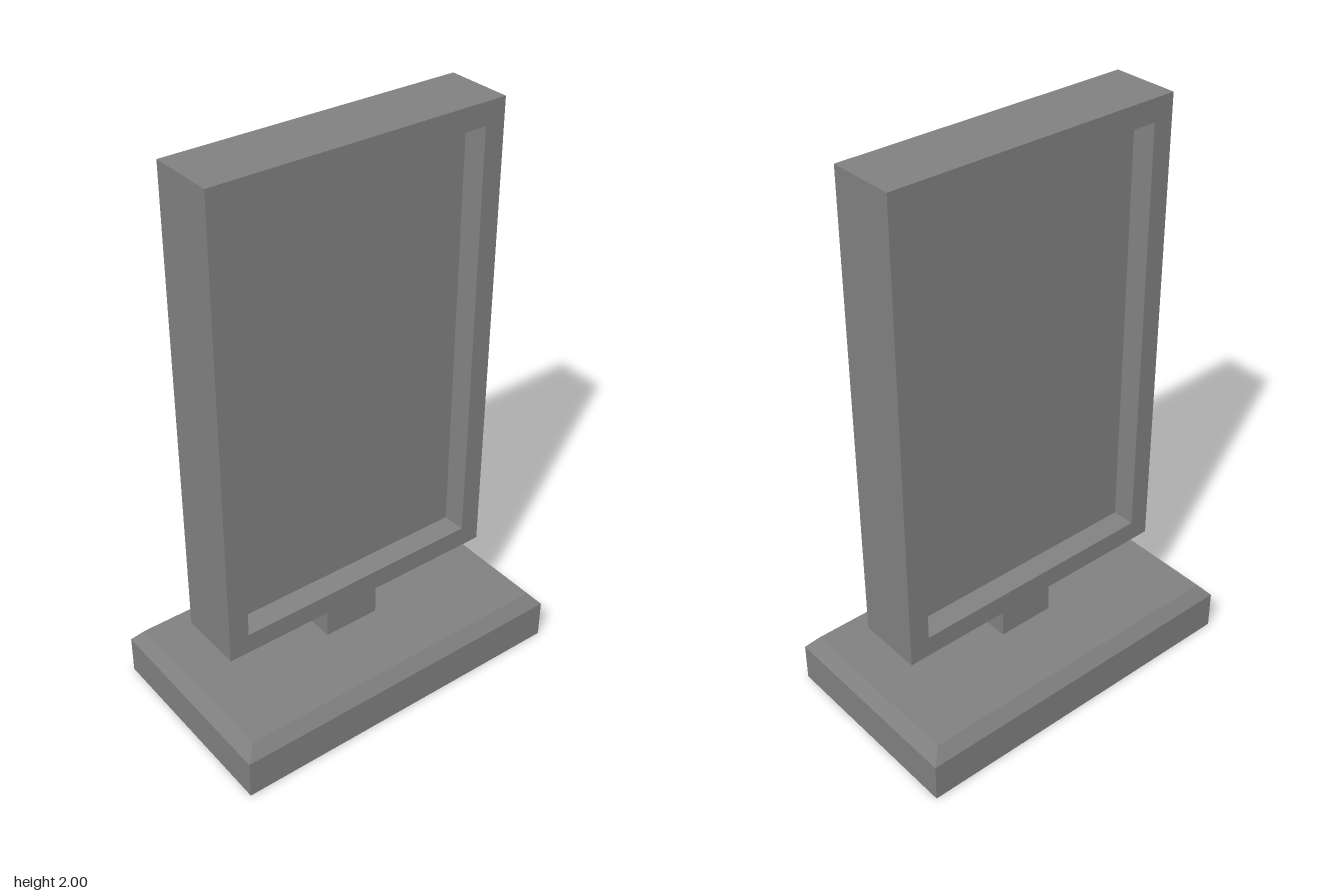
import * as THREE from 'three';

// Skin through rectangles [halfWidth, yMin, yMax, z], with flat faces and optional end caps.
function loft(rings, capped) {
  const pos = [];
  const loops = rings.map(([w, y0, y1, z]) => [[-w, y0, z], [w, y0, z], [w, y1, z], [-w, y1, z]]);
  const quad = (a, b, c, d) => pos.push(...a, ...b, ...c, ...a, ...c, ...d);
  for (let k = 0; k < loops.length - 1; k++) {
    const a = loops[k], b = loops[k + 1];
    for (let i = 0; i < 4; i++) {
      const j = (i + 1) % 4;
      quad(a[i], a[j], b[j], b[i]);
    }
  }
  if (capped) {
    const [p, q, r, s] = loops[0];
    quad(p, s, r, q);
    quad(...loops[loops.length - 1]);
  }
  const geometry = new THREE.BufferGeometry();
  geometry.setAttribute('position', new THREE.Float32BufferAttribute(pos, 3));
  geometry.computeVertexNormals();
  return geometry;
}

export function createModel() {
  const model = new THREE.Group();
  model.name = 'standingSign';
  const grey = new THREE.MeshStandardMaterial({ color: 0x808080 });
  grey.name = 'grey';

  const add = (name, geometry) => {
    const mesh = new THREE.Mesh(geometry, grey);
    mesh.name = name;
    model.add(mesh);
    return mesh;
  };

  // Base slab with a bevelled top edge, lofted upward
  const base = loft([
    [0.632, -0.364, 0.364, 0],
    [0.632, -0.364, 0.364, 0.14],
    [0.593, -0.328, 0.328, 0.185],
  ], true);
  base.rotateX(-Math.PI / 2);
  add('base', base);

  // Short post between base and frame
  add('post', new THREE.BoxGeometry(0.21, 0.17, 0.144)).position.y = 0.26;

  // Frame with a sloped recess on both faces
  const half = 0.118, floor = 0.058;
  const inner = [0.43, 0.438, 1.898], lip = [0.455, 0.413, 1.923], outer = [0.528, 0.338, 2];
  add('frame', loft([
    [...inner, -floor], [...lip, -half], [...outer, -half],
    [...outer, half], [...lip, half], [...inner, floor],
  ], false));

  // Display panels at the bottom of each recess
  for (const side of [1, -1]) {
    const panel = add(side > 0 ? 'frontPanel' : 'backPanel',
      new THREE.PlaneGeometry(2 * inner[0], inner[2] - inner[1]));
    panel.position.set(0, (inner[1] + inner[2]) / 2, side * floor);
    if (side < 0) panel.rotation.y = Math.PI;
  }
  return model;
}
